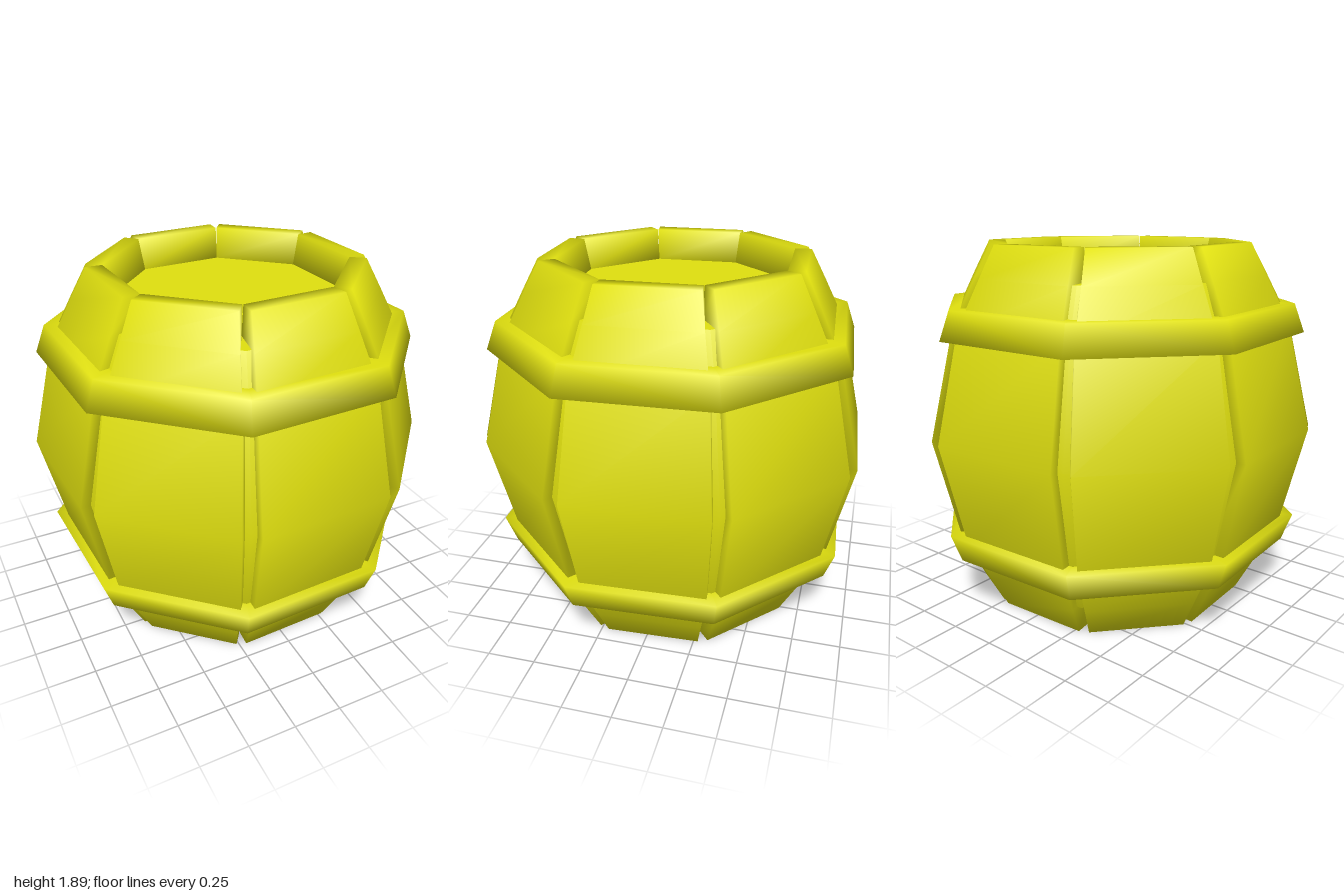
import * as THREE from 'three';

const H = 1.89;                             // barrel height
const SIDES = 8;
const K = 1 / Math.cos(Math.PI / SIDES);    // flat radius -> corner radius

// Stave half profile, bottom to belly: [y, outer r, outer half width, inner r, inner half width]
const half = [
  [0, 0.655, 0.243, 0.57, 0.234],
  [0.16, 0.737, 0.272, 0.535, 0.222],
  [0.39, 0.85, 0.316, 0.75, 0.308],
  [0.945, 0.976, 0.355, 0.88, 0.35],
];
const sections = [...half, ...half.slice(0, 3).reverse().map(([y, ...rest]) => [H - y, ...rest])];

// One bent plank with smooth normals
function staveGeometry() {
  const pos = [], idx = [];
  for (const [y, ro, wo, ri, wi] of sections) pos.push(-wo, y, ro, wo, y, ro, wi, y, ri, -wi, y, ri);
  const last = (sections.length - 1) * 4;
  for (let i = 0; i < last; i += 4) {
    for (let j = 0; j < 4; j++) {
      const a = i + j, b = i + (j + 1) % 4;
      idx.push(a, b, b + 4, a, b + 4, a + 4);
    }
  }
  idx.push(0, 2, 1, 0, 3, 2, last, last + 1, last + 2, last, last + 2, last + 3);
  const g = new THREE.BufferGeometry();
  g.setAttribute('position', new THREE.Float32BufferAttribute(pos, 3));
  g.setIndex(idx);
  g.computeVertexNormals();
  return g;
}

// Octagonal ring or shell from [flat radius, y] points
function octagon(points) {
  const pts = points.map(([r, y]) => new THREE.Vector2(r * K, y));
  return new THREE.LatheGeometry(pts, SIDES, Math.PI / SIDES);
}

export function createModel() {
  const group = new THREE.Group();
  const yellow = new THREE.MeshStandardMaterial({ color: 0xe0e00f });
  yellow.name = 'yellow';
  const add = (name, geometry) => {
    const mesh = new THREE.Mesh(geometry, yellow);
    mesh.name = name;
    group.add(mesh);
    return mesh;
  };

  // Staves around the barrel
  const stave = staveGeometry();
  for (let i = 0; i < SIDES; i++) add('stave' + (i + 1), stave).rotation.y = i * Math.PI * 2 / SIDES;

  // Inner body filling the gaps between staves
  add('innerBody', octagon([[0.69, 0.16], [0.8, 0.39], [0.925, 0.945], [0.8, H - 0.39], [0.69, H - 0.16]]));

  // Recessed lids at both ends
  for (const [name, y] of [['bottomLid', 0.17], ['topLid', H - 0.17]]) {
    add(name, new THREE.CylinderGeometry(0.69 * K, 0.69 * K, 0.02, SIDES, 1, false, Math.PI / SIDES)).position.y = y;
  }

  // Hoops
  const hoop = [[0.79, 1.445], [0.91, 1.445], [0.86, 1.59], [0.76, 1.59]];
  add('upperHoop', octagon(hoop));
  add('lowerHoop', octagon(hoop.map(([r, y]) => [r, H - y]).reverse()));

  // Slight turn of the whole barrel
  group.rotation.y = 0.0454;
  const model = new THREE.Group();
  group.name = 'barrel';
  model.add(group);
  return model;
}
